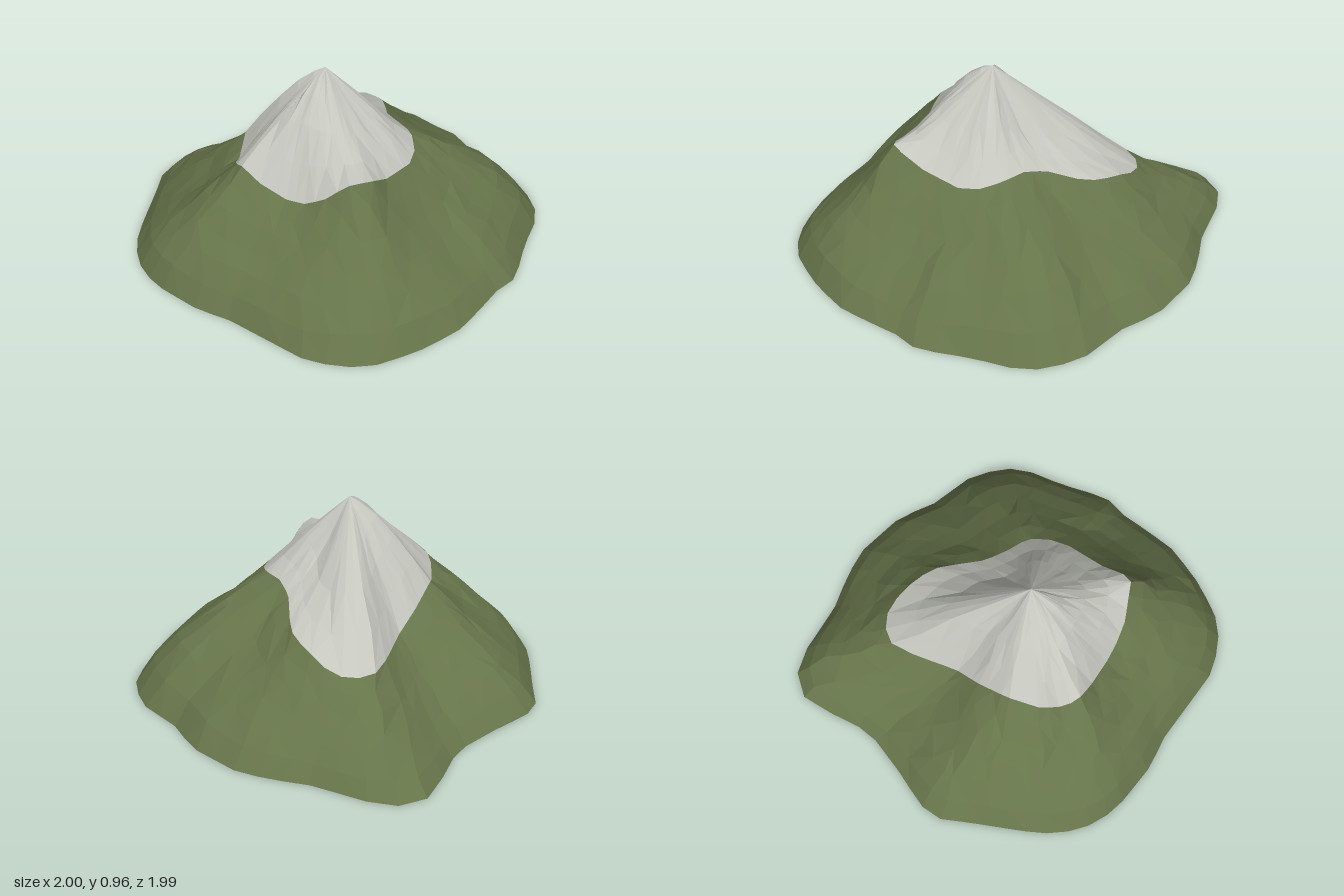
import * as THREE from 'three';

const PEAK = [0, 0.96, 0.1];
const SEGMENTS = 56;

// Foot of the mountain: x, z and how far the slope above it swells
const foot = [
  [1, -0.15, 0.02], [0.975, 0, 0.01], [0.985, 0.15, 0], [0.985, 0.34, 0.01], [0.92, 0.55, 0.02],
  [0.83, 0.74, 0.035], [0.72, 0.85, 0.04], [0.56, 0.93, 0.045], [0.35, 0.94, 0.05],
  [0.1, 0.95, 0.05], [-0.08, 0.99, 0.05], [-0.36, 0.99, 0.05], [-0.5, 0.95, 0.065],
  [-0.66, 0.84, 0.055], [-0.77, 0.68, 0.035], [-0.9, 0.46, 0.035], [-0.99, 0.32, 0.04],
  [-1, 0.2, 0.03], [-0.94, 0, 0.01], [-0.88, -0.27, -0.01], [-0.96, -0.6, 0.01],
  [-0.96, -0.71, 0.02], [-0.86, -0.81, 0.02], [-0.72, -0.85, 0.02], [-0.5, -0.88, 0.02],
  [-0.32, -0.95, 0.02], [-0.15, -1, 0.02], [0.18, -0.97, 0.02], [0.3, -0.89, 0.03],
  [0.6, -0.83, 0.08], [0.76, -0.73, 0.1], [0.84, -0.62, 0.08], [0.9, -0.4, 0.05],
].map(([x, z, swell]) => [x, 0, z, swell]);

// Snow line: x, y, z and how far the snow above it bulges (+) or sags (-)
const snowLine = [
  [0.44, 0.53, 0, 0], [0.45, 0.56, 0.2, -0.02], [0.465, 0.645, 0.37, -0.06], [0.38, 0.61, 0.42, -0.02],
  [0.3, 0.53, 0.47, 0.03], [0.2, 0.47, 0.5, 0.07], [0.1, 0.46, 0.52, 0.08], [-0.05, 0.5, 0.54, 0.06],
  [-0.15, 0.56, 0.55, 0], [-0.23, 0.53, 0.52, 0.01], [-0.3, 0.455, 0.42, 0.04],
  [-0.38, 0.53, 0.27, 0.05], [-0.4, 0.45, 0.1, 0.05], [-0.4, 0.37, -0.05, 0.04],
  [-0.45, 0.36, -0.2, 0.02], [-0.51, 0.36, -0.38, 0.01], [-0.48, 0.355, -0.46, 0],
  [-0.42, 0.355, -0.52, -0.01], [-0.33, 0.375, -0.54, -0.03], [-0.2, 0.43, -0.52, -0.06],
  [-0.08, 0.455, -0.48, -0.065], [0, 0.48, -0.4, -0.06], [0.1, 0.54, -0.28, -0.05],
  [0.2, 0.57, -0.22, -0.03], [0.32, 0.57, -0.18, 0], [0.4, 0.54, -0.1, 0.01],
];

// Small repeatable noise in -1..1
const noise = (i, j) => {
  const s = Math.sin(i * 127.1 + j * 311.7) * 43758.5453;
  return (s - Math.floor(s)) * 2 - 1;
};
const mix = (a, b, t) => a + (b - a) * t;
const angle = (i) => (i / SEGMENTS) * Math.PI * 2;

// Where a ray from the peak at angle a crosses a closed line
function sample(line, a) {
  const dx = Math.cos(a), dz = Math.sin(a);
  const side = (v) => dx * (v[2] - PEAK[2]) - dz * v[0];
  for (let i = 0; i < line.length; i++) {
    const p = line[i], q = line[(i + 1) % line.length];
    const sp = side(p), sq = side(q);
    if (sp > 0 || sq <= 0) continue;
    const r = p.map((v, n) => mix(v, q[n], sp / (sp - sq)));
    if (r[0] * dx + (r[2] - PEAK[2]) * dz > 0) return r;
  }
  return line[0];
}

// Upward-facing surface through closed rings of points, innermost first
function surface(ringCount, pointAt) {
  const pos = [], index = [];
  for (let j = 0; j < ringCount; j++)
    for (let i = 0; i < SEGMENTS; i++) pos.push(...pointAt(i, j));
  for (let j = 0; j < ringCount - 1; j++)
    for (let i = 0; i < SEGMENTS; i++) {
      const n = (i + 1) % SEGMENTS;
      const a = j * SEGMENTS + i, b = j * SEGMENTS + n, c = a + SEGMENTS, d = b + SEGMENTS;
      if ((i + j) % 2) index.push(a, b, c, b, d, c);
      else index.push(a, b, d, a, d, c);
    }
  const g = new THREE.BufferGeometry();
  g.setAttribute('position', new THREE.Float32BufferAttribute(pos, 3));
  g.setIndex(index);
  g.computeVertexNormals();
  return g;
}

function part(name, geometry, colourName, color) {
  const material = new THREE.MeshStandardMaterial({ color, flatShading: true, side: THREE.DoubleSide });
  material.name = colourName;
  const mesh = new THREE.Mesh(geometry, material);
  mesh.name = name;
  return mesh;
}

export function createModel() {
  const group = new THREE.Group();
  group.name = 'mountain';

  // Snow cap: bulges are fullest near the tip, sags are deepest lower down
  const snowRings = [0, 0.13, 0.32, 0.54, 0.78, 1];
  const snow = surface(snowRings.length, (i, j) => {
    const t = snowRings[j];
    const rough = t < 1 ? t : 0;
    const e = sample(snowLine, angle(-i + noise(i, j) * 0.35 * rough));
    const curve = Math.sin(Math.PI * t ** (e[3] > 0 ? 0.8 : 1.3));
    const y = mix(PEAK[1], e[1], t) + curve * e[3] + noise(i >> 1, j + 9) * 0.012 * rough;
    return [e[0] * t, y, mix(PEAK[2], e[2], t)];
  });

  // Grassy slopes from the snow line to the foot: distance out, share of height
  const slopeRings = [[0, 1], [0.15, 0.83], [0.32, 0.64], [0.5, 0.47], [0.68, 0.33], [0.86, 0.18], [1, 0]];
  const slope = surface(slopeRings.length, (i, j) => {
    const [t, share] = slopeRings[j];
    const rough = Math.min(1, 6 * t * (1 - t));
    const a = angle(-i + noise(i, j + 20) * 0.3 * rough);
    const s = sample(snowLine, a), b = sample(foot, a);
    const y = s[1] * share + b[3] * Math.sin(Math.PI * t) + noise(i >> 1, j + 40) * 0.01 * rough;
    return [mix(s[0], b[0], t), y, mix(s[2], b[2], t)];
  });

  group.add(part('snowCap', snow, 'snow', 0xc4c6be), part('grassySlopes', slope, 'grass', 0x66744a));
  return group;
}
